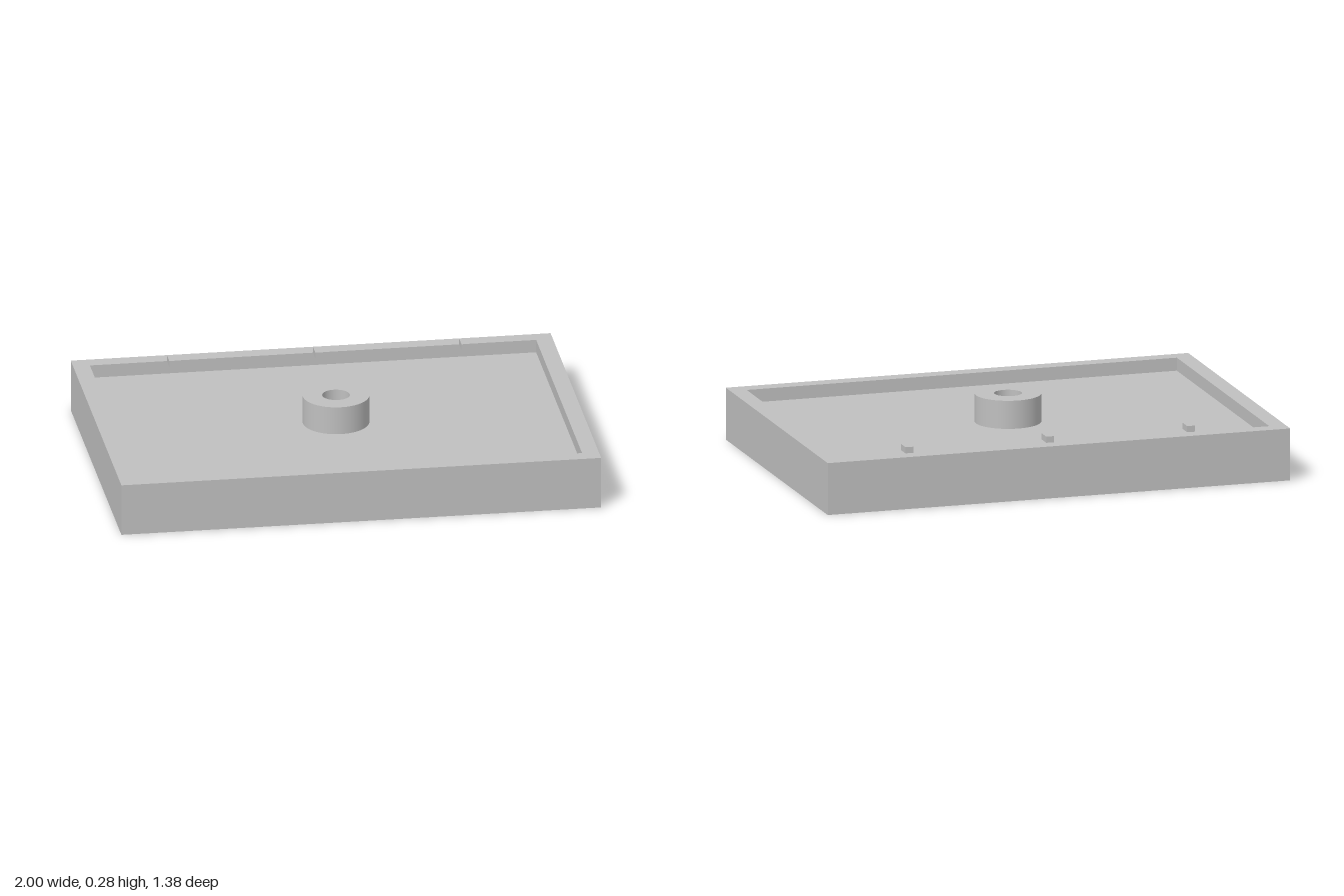
import * as THREE from 'three';

const W = 2, D = 1.385, H = 0.22, FLOOR = 0.165;
const INNER_X = 0.93, INNER_Z = 0.628;

export function createModel() {
  const model = new THREE.Group();
  const grey = new THREE.MeshStandardMaterial({ color: 0xbfbfbf });
  grey.name = 'plainGrey';

  const add = (name, geometry, x, y, z) => {
    const mesh = new THREE.Mesh(geometry, grey);
    mesh.name = name;
    mesh.position.set(x, y, z);
    model.add(mesh);
    return mesh;
  };

  // Solid slab whose top is the recessed tray floor
  add('traySlab', new THREE.BoxGeometry(W, FLOOR, D), 0, FLOOR / 2, 0);

  // Raised rim: a rectangular frame standing on the slab
  const outline = new THREE.Shape([[-1, -1], [1, -1], [1, 1], [-1, 1]]
    .map(([sx, sz]) => new THREE.Vector2(sx * W / 2, sz * D / 2)));
  outline.holes.push(new THREE.Path([[-1, -1], [-1, 1], [1, 1], [1, -1]]
    .map(([sx, sz]) => new THREE.Vector2(sx * INNER_X, sz * INNER_Z))));
  const rim = new THREE.ExtrudeGeometry(outline, { depth: H - FLOOR, bevelEnabled: false });
  rim.rotateX(-Math.PI / 2);
  add('rim', rim, 0, FLOOR, 0);

  // Hollow central boss, open down to the floor
  const R = 0.138, BORE = 0.057, TOP = 0.284;
  const ring = new THREE.Shape().absarc(0, 0, R, 0, Math.PI * 2, false);
  ring.holes.push(new THREE.Path().absarc(0, 0, BORE, 0, Math.PI * 2, true));
  const boss = new THREE.ExtrudeGeometry(ring, { depth: TOP - FLOOR, bevelEnabled: false, curveSegments: 48 });
  boss.rotateX(-Math.PI / 2);
  // Smooth the round walls by pointing their normals along the radius
  const p = boss.attributes.position, n = boss.attributes.normal;
  for (let i = 0; i < p.count; i++) {
    if (Math.abs(n.getY(i)) > 0.5) continue;
    const r = Math.hypot(p.getX(i), p.getZ(i));
    const s = r > (R + BORE) / 2 ? 1 / r : -1 / r;
    n.setXYZ(i, p.getX(i) * s, 0, p.getZ(i) * s);
  }
  add('centreBoss', boss, 0, FLOOR, 0);

  // Three small tabs overhanging the back rim's inner edge
  for (const x of [-0.592, 0.017, 0.626]) {
    add('backTab', new THREE.BoxGeometry(0.034, 0.026, 0.064), x, 0.233, -0.595);
  }

  return model;
}
